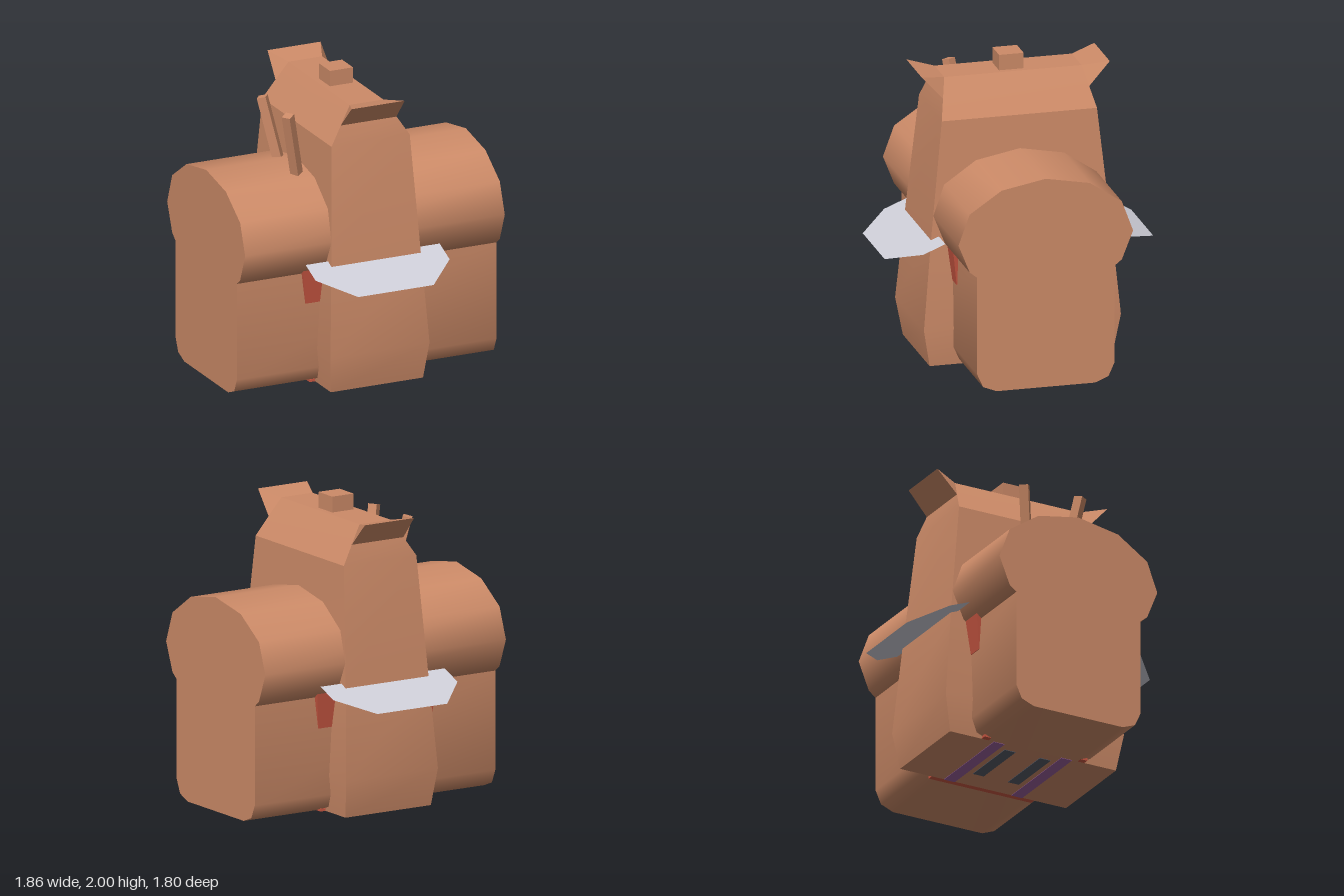
import * as THREE from 'three';
import { toCreasedNormals } from 'three/addons/utils/BufferGeometryUtils.js';
import { ConvexGeometry } from 'three/addons/geometries/ConvexGeometry.js';

const material = (name, color, side = THREE.FrontSide) => {
  const m = new THREE.MeshStandardMaterial({ color, side });
  m.name = name;
  return m;
};

export function createModel() {
  const clay = material('clay brown', 0xcd8b68);
  const grey = material('pale grey', 0xcfcfd9, THREE.DoubleSide);
  const red = material('brick red', 0xcc5843);
  const purple = material('muted purple', 0x9a609c);
  const slate = material('dark slate', 0x565a66);

  const model = new THREE.Group();
  const add = (name, geometry, mat, parent = model) => {
    const mesh = new THREE.Mesh(geometry, mat);
    mesh.name = name;
    parent.add(mesh);
    return mesh;
  };
  const box = (name, w, h, d, x, y, z, mat) =>
    add(name, new THREE.BoxGeometry(w, h, d), mat).position.set(x, y, z);

  // Half profile (z, y) from top to bottom, mirrored and extruded along x
  const hall = (half) => {
    const other = half.filter(([z]) => z > 0).reverse().map(([z, y]) => [-z, y]);
    const shape = new THREE.Shape([...half, ...other].map(([z, y]) => new THREE.Vector2(z, y)));
    const g = new THREE.ExtrudeGeometry(shape, { depth: 1.86, bevelEnabled: false });
    g.translate(0, 0, -0.93).rotateY(Math.PI / 2);
    return toCreasedNormals(g, 0.8);
  };
  add('barrelRoof', hall([[0, 1.425], [0.295, 1.37], [0.51, 1.225], [0.585, 1.02], [0.51, 0.83], [0.46, 0.79]]), clay);
  add('hallBody', hall([[0.46, 0.8], [0.46, 0.13], [0.42, 0.04], [0.33, 0.004]]), clay);

  // Central tower: rectangular rings [half width, half depth, height]
  const rings = [
    [0.33, 0.615, 0.004], [0.355, 0.66, 0.255], [0.32, 0.603, 0.86],
    [0.28, 0.52, 1.65], [0.2, 0.49, 1.775], [0.12, 0.46, 1.895],
  ];
  const positions = rings.flatMap(([x, z, y]) => [x, y, z, x, y, -z, -x, y, -z, -x, y, z]);
  const index = [0, 2, 1, 0, 3, 2];
  for (let r = 0; r < rings.length - 1; r++) {
    for (let i = 0; i < 4; i++) {
      const a = r * 4 + i, b = r * 4 + (i + 1) % 4;
      index.push(a, b, b + 4, a, b + 4, a + 4);
    }
  }
  const t = (rings.length - 1) * 4;
  index.push(t, t + 1, t + 2, t, t + 2, t + 3);
  const tower = new THREE.BufferGeometry();
  tower.setAttribute('position', new THREE.Float32BufferAttribute(positions, 3));
  tower.setIndex(index);
  add('tower', toCreasedNormals(tower, 0.5), clay);
  box('ridgeBlock', 0.165, 0.12, 0.165, 0, 1.94, 0, clay);

  // Front and back sets: roof horn, sloping canopy, red brackets
  const mirrored = (points) => points.flatMap(([x, y, z]) =>
    [new THREE.Vector3(x, y, z), new THREE.Vector3(-x, y, z)]);
  for (const [side, turn] of [['front', 0], ['back', Math.PI]]) {
    const set = new THREE.Group();
    set.name = side + 'Entrance';
    set.rotation.y = turn;
    model.add(set);

    add('roofHorn', new ConvexGeometry(mirrored([[0.2, 1.775, 0.49], [0.12, 1.895, 0.46], [0.19, 1.93, 0.63]])), clay, set);

    const outline = [[-0.48, -0.55], [-0.48, -0.7], [-0.27, -0.9], [0.27, -0.9], [0.48, -0.7], [0.48, -0.55]];
    const canopy = new THREE.ShapeGeometry(new THREE.Shape(outline.map((p) => new THREE.Vector2(...p))));
    canopy.rotateX(-Math.PI / 2);
    const pos = canopy.attributes.position;
    for (let i = 0; i < pos.count; i++) pos.setY(i, 0.74 + 0.4 * (0.9 - pos.getZ(i)));
    canopy.computeVertexNormals();
    add('canopy', canopy, grey, set);

    add('canopyBracket', new ConvexGeometry(mirrored([
      [0.47, 0.82, 0.495], [0.47, 0.82, 0.4], [0.44, 0.58, 0.464], [0.44, 0.58, 0.4],
    ])), red, set);
  }

  // Two leaning chimneys
  for (const [name, x, z, yaw] of [['backChimney', -0.42, -0.105, -0.68], ['frontChimney', -0.428, 0.24, 0.59]]) {
    const chimney = add(name, new THREE.BoxGeometry(0.06, 0.44, 0.06), clay);
    chimney.position.set(x, 1.6, z);
    chimney.rotation.set(0, yaw, 0.25, 'YXZ');
  }

  // Base plate and inlays on the underside
  box('basePlate', 0.74, 0.018, 0.76, 0, 0.013, 0, red);
  for (const s of [-1, 1]) {
    box('undersidePanel', 0.66, 0.004, 0.08, 0, 0.003, s * 0.25, purple);
    box('undersideStrip', 0.42, 0.004, 0.08, -0.05, 0.002, s * 0.13, slate);
  }
  return model;
}
